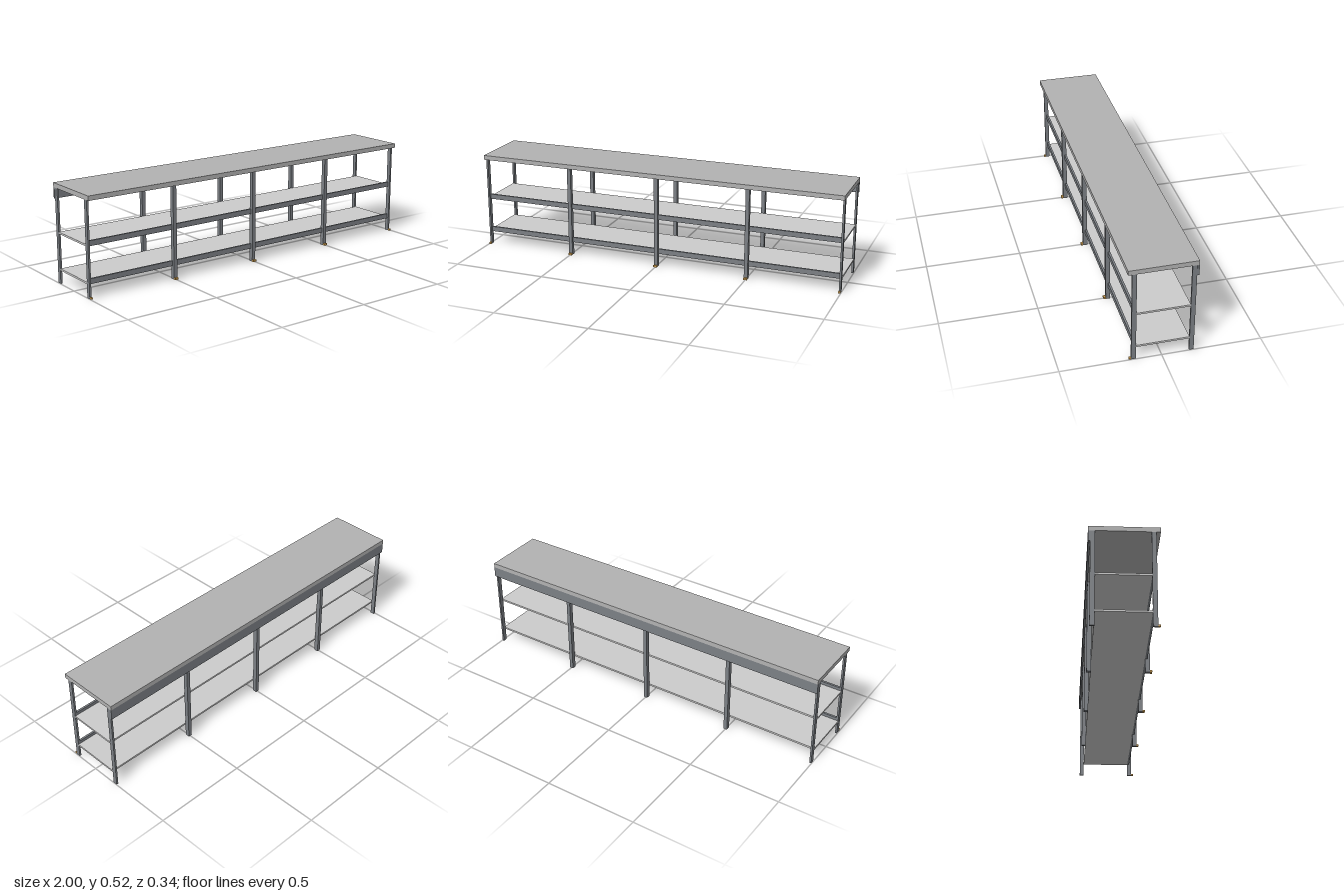
import * as THREE from 'three';

const paint = (color) => new THREE.MeshStandardMaterial({ color });

export function createModel() {
  const model = new THREE.Group();
  model.name = 'workbench';
  const steel = paint(0x7c8085);
  const board = paint(0xb2b2b2);
  const sheet = paint(0xcccccc);
  const brass = paint(0xd0a050);

  // Box given by its minimum and maximum on each axis
  const box = (name, [x0, x1], [y0, y1], [z0, z1], material) => {
    const mesh = new THREE.Mesh(new THREE.BoxGeometry(x1 - x0, y1 - y0, z1 - z0), material);
    mesh.position.set((x0 + x1) / 2, (y0 + y1) / 2, (z0 + z1) / 2);
    mesh.name = name;
    model.add(mesh);
  };

  // Worktop, with the apron along the back
  box('worktop', [-1, 1], [0.492, 0.516], [-0.166, 0.17], board);
  box('worktopBackEdge', [-1, 1], [0.492, 0.516], [-0.17, -0.166], board);
  box('apron', [-1, 1], [0.436, 0.492], [-0.17, -0.16], steel);

  // Small fasteners on the inner face of the apron
  for (let i = 0; i < 6; i++) {
    const x = -0.888 + i * 0.355;
    box('apronFastener', [x - 0.006, x + 0.006], [0.458, 0.464], [-0.16, -0.158], steel);
  }

  // Four bays, each with its own pair of end frames, so inner legs stand back to back
  const legWidth = 0.01;
  for (let bay = 0; bay < 4; bay++) {
    const left = -0.998 + bay * 0.499;
    const right = left + 0.499;
    for (const x of [left, right - legWidth]) {
      const span = [x, x + legWidth];
      box('frontLeg', span, [0, 0.492], [0.127, 0.15], steel);
      box('backLeg', span, [0, 0.492], [-0.16, -0.137], steel);
      box('foot', span, [0, 0.01], [0.15, 0.161], brass);
    }
    // Shelf rails between the front legs
    for (const y of [0.07, 0.26]) {
      box('shelfRail', [left + legWidth, right - legWidth], [y, y + 0.027], [0.127, 0.138], steel);
    }
  }

  // Shelves run the full length between the front and back legs
  for (const y of [0.07, 0.26]) {
    box('shelf', [-0.998, 0.998], [y, y + 0.01], [-0.137, 0.127], sheet);
  }

  return model;
}
